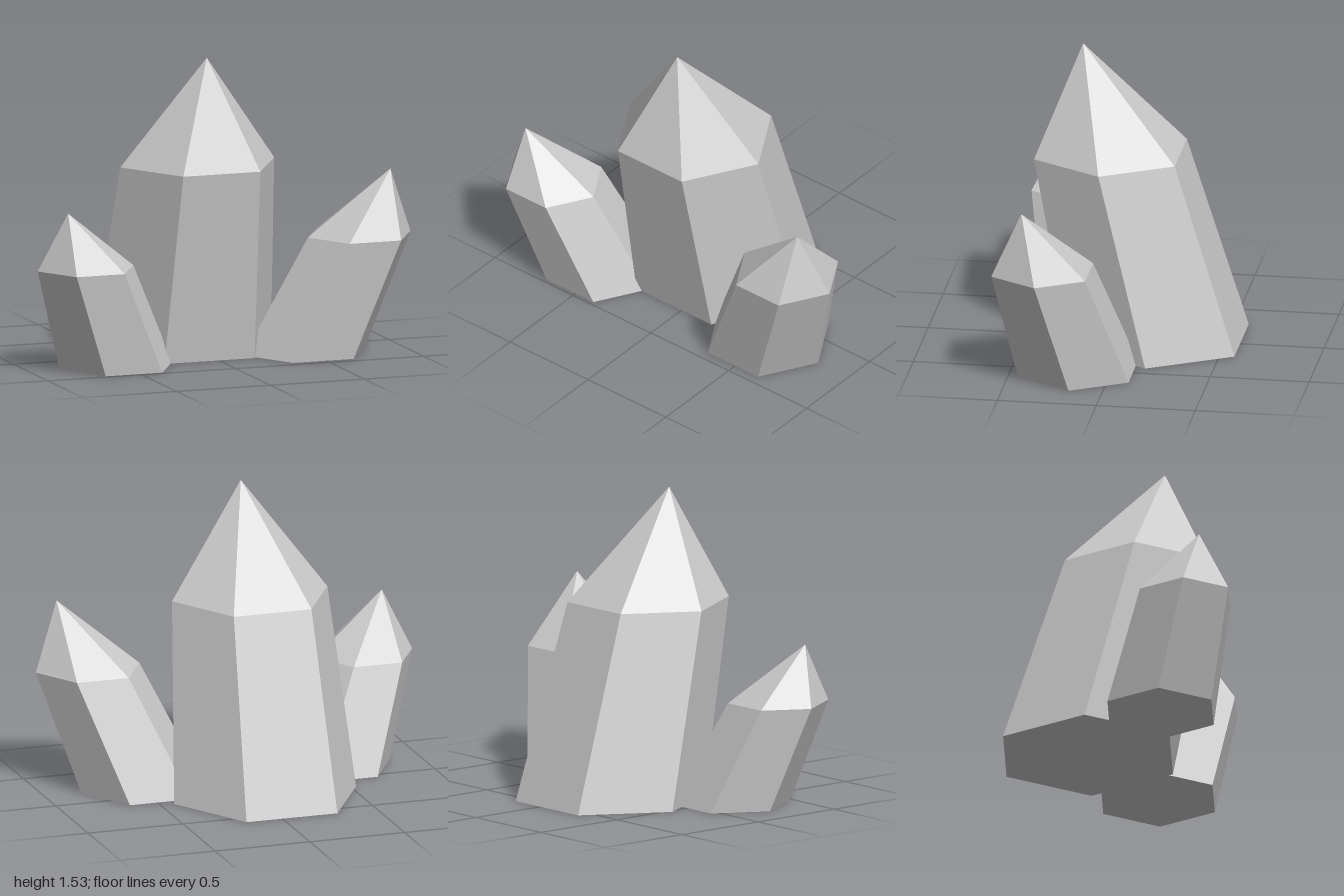
import * as THREE from 'three';

const SIDES = 6;

// Corners of a level hexagon with points towards +x and -x
function hexRing([x, y, z], radius) {
  return Array.from({ length: SIDES }, (_, i) => {
    const a = (i / SIDES) * Math.PI * 2;
    return [x + radius * Math.cos(a), y, z - radius * Math.sin(a)];
  });
}

// Leaning six-sided prism with a flat foot and an off-centre point
function crystal(name, material, { foot, footRadius, shoulder, shoulderRadius, tip }) {
  const low = hexRing(foot, footRadius);
  const high = hexRing(shoulder, shoulderRadius);
  const corners = [];
  for (let i = 0; i < SIDES; i++) {
    const j = (i + 1) % SIDES;
    corners.push(low[i], low[j], high[j], low[i], high[j], high[i]); // side
    corners.push(high[i], high[j], tip); // point
    corners.push(low[j], low[i], foot); // underside
  }
  const geometry = new THREE.BufferGeometry();
  geometry.setAttribute('position', new THREE.Float32BufferAttribute(corners.flat(), 3));
  geometry.computeVertexNormals();
  const mesh = new THREE.Mesh(geometry, material);
  mesh.name = name;
  return mesh;
}

export function createModel() {
  const group = new THREE.Group();
  group.name = 'crystalCluster';

  const stone = new THREE.MeshStandardMaterial({ color: 0xcccccc });
  stone.name = 'pale grey crystal';

  group.add(
    // Tall middle crystal
    crystal('mainCrystal', stone, {
      foot: [-0.05, 0, -0.16], footRadius: 0.48,
      shoulder: [-0.053, 0.98, 0.087], shoulderRadius: 0.41,
      tip: [-0.053, 1.535, 0.225],
    }),
    // Smaller crystals leaning outwards on each side
    crystal('leftCrystal', stone, {
      foot: [0.485, 0, 0.17], footRadius: 0.322,
      shoulder: [0.725, 0.605, 0.315], shoulderRadius: 0.273,
      tip: [0.86, 0.945, 0.4],
    }),
    crystal('rightCrystal', stone, {
      foot: [-0.535, 0, 0.22], footRadius: 0.3,
      shoulder: [-0.745, 0.53, 0.35], shoulderRadius: 0.255,
      tip: [-0.865, 0.828, 0.425],
    }),
  );
  return group;
}
